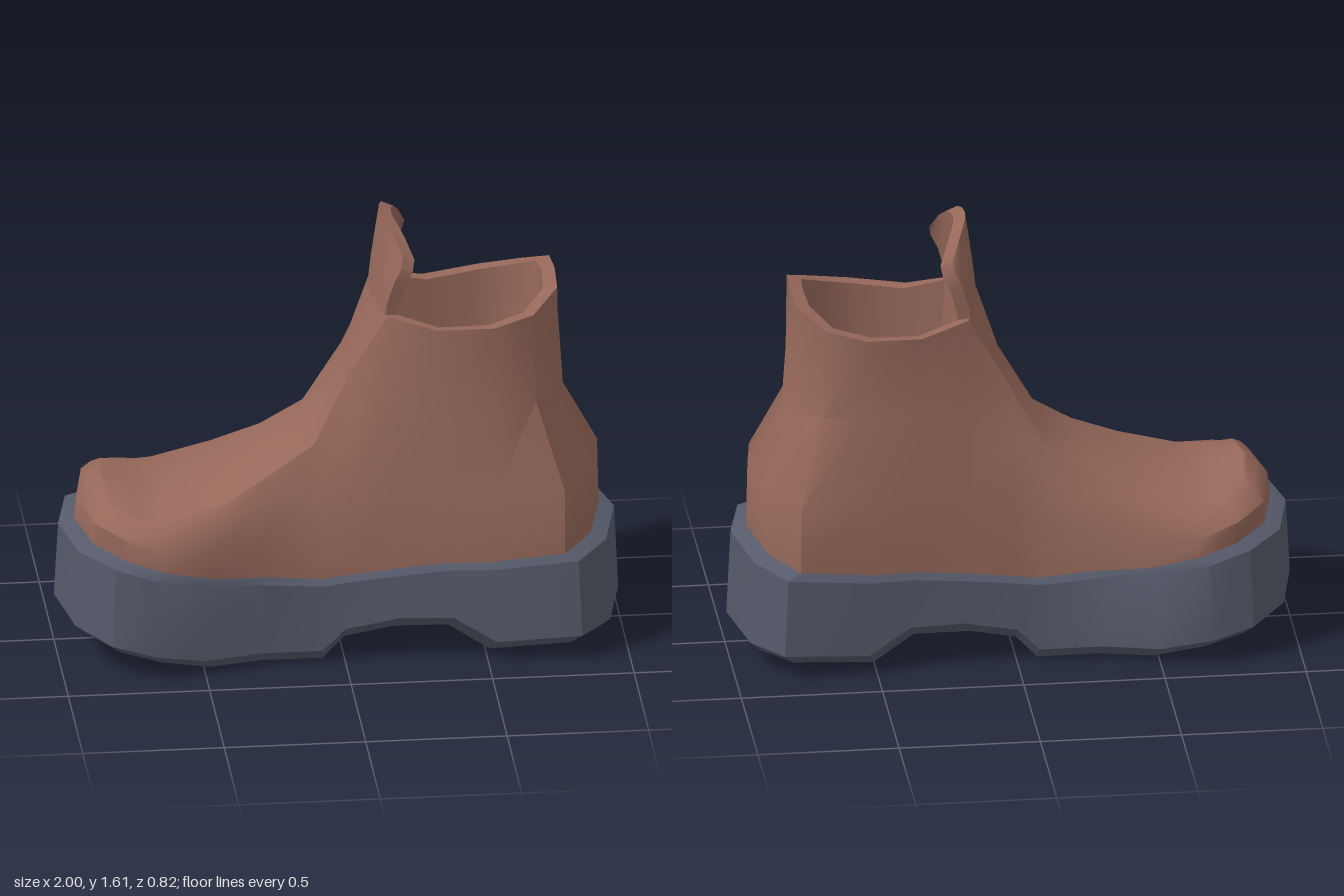
import * as THREE from 'three';
import { toCreasedNormals } from 'three/addons/utils/BufferGeometryUtils.js';

const leather = new THREE.MeshStandardMaterial({ color: 0x96685a, side: THREE.DoubleSide });
leather.name = 'brown leather';
const rubber = new THREE.MeshStandardMaterial({ color: 0x565a6a, side: THREE.DoubleSide });
rubber.name = 'grey rubber';

const flip = ([x, y, z]) => [x, y, -z];
// Half outline (toe, left side, heel) mirrored into a closed loop
const loop = (half) => [...half, ...half.slice(1, -1).reverse().map(flip), half[0]];

// Skin a grid of points given as rows of equal length
function skin(rows) {
  const out = [];
  const same = (a, b) => Math.hypot(a[0] - b[0], a[1] - b[1], a[2] - b[2]) < 1e-6;
  const tri = (a, b, c) => {
    if (!same(a, b) && !same(b, c) && !same(c, a)) out.push(...a, ...b, ...c);
  };
  for (let r = 0; r < rows.length - 1; r++) {
    for (let i = 0; i < rows[r].length - 1; i++) {
      const a = rows[r][i], b = rows[r][i + 1], c = rows[r + 1][i + 1], d = rows[r + 1][i];
      tri(a, b, c);
      tri(a, c, d);
    }
  }
  return out;
}

function part(name, material, crease, ...skins) {
  const g = new THREE.BufferGeometry();
  g.setAttribute('position', new THREE.Float32BufferAttribute(skins.flat(), 3));
  const mesh = new THREE.Mesh(toCreasedNormals(g, crease), material);
  mesh.name = name;
  return mesh;
}

// Sole outline, toe to heel: x, half width, top height, lower edge height
const SOLE = [
  [-1, 0, .45, .18], [-.95, .25, .445, .165], [-.83, .37, .42, .13], [-.68, .41, .385, .1],
  [-.5, .37, .34, .06], [-.3, .31, .315, .055], [-.08, .3, .295, .05], [0, .3, .305, .13],
  [.19, .315, .33, .17], [.38, .33, .35, .17], [.53, .355, .355, .08], [.83, .375, .385, .1],
  [.94, .26, .415, .11], [.995, 0, .43, .12],
];

// Upper, same columns as the sole: widest line, ankle line, top edge
const LOW = [
  [-.92, .56, 0], [-.88, .55, .24], [-.78, .52, .34], [-.65, .48, .375], [-.47, .48, .35],
  [-.28, .5, .29], [-.08, .52, .275], [0, .6, .28], [.18, .65, .29], [.37, .65, .315],
  [.53, .65, .335], [.77, .65, .355], [.89, .67, .21], [.92, .69, 0],
];
const ANKLE = [
  [-.885, .605, 0], [-.85, .585, .22], [-.76, .56, .3], [-.64, .54, .33], [-.44, .57, .315],
  [-.26, .62, .255], [-.08, .68, .24], [.03, .85, .215], [.17, .95, .235], [.36, .95, .255],
  [.55, .95, .265], [.68, .95, .24], [.77, .93, .14], [.8, .9, 0],
];
const RIM = [
  [-.84, .64, 0], [-.82, .605, .2], [-.73, .57, .26], [-.63, .565, .285], [-.42, .62, .28],
  [-.25, .705, .22], [-.1, .8, .2], [.03, 1.04, .14], [.16, 1.28, .2], [.33, 1.24, .25],
  [.53, 1.255, .285], [.67, 1.285, .25], [.765, 1.34, .14], [.77, 1.355, 0],
];
// Height of the instep panel's middle above its edges
const CROWN = [0, .03, .045, .04, .05, .045, .05, .04, .04];

export function createModel() {
  const group = new THREE.Group();
  group.name = 'boot';

  // Sole with bevelled edges, heel arch and insole
  const tread = SOLE.map(([x, z, , b]) => [x * .96, b - .045, z * .86]);
  const lowerEdge = SOLE.map(([x, z, , b]) => [x, b, z]);
  const upperEdge = SOLE.map(([x, z, t]) => [x * .985, t, z * .985]);
  const welt = SOLE.map(([x, z, t]) => [x * .93, t + .022, z * .93]);
  group.add(part('sole', rubber, .5,
    skin([tread, lowerEdge, upperEdge, welt].map(loop)),
    skin([tread.map(flip), tread]),
    skin([welt, welt.map(flip)])));

  // Outer wall and domed instep panel
  const panelEdge = RIM.slice(0, 9);
  const panelRow = (k, lift) => panelEdge.map(([x, y, z], i) =>
    [x - (i === 8 ? .05 * lift : 0), y + CROWN[i] * lift, z * k]);
  group.add(part('upper', leather, .75, skin([welt, LOW, ANKLE, RIM].map(loop))));
  group.add(part('instepPanel', leather, .75,
    skin([[1, 0], [.5, .75], [0, 1], [-.5, .75], [-1, 0]].map(([k, l]) => panelRow(k, l)))));

  // Collar edge and lining running down to the insole
  const collar = [[.13, 1.31, 0], ...RIM.slice(8)];
  const liningTop = [[.165, 1.31, 0], [.2, 1.275, .18], [.34, 1.235, .21], [.51, 1.25, .24],
    [.64, 1.28, .21], [.715, 1.33, .12], [.725, 1.345, 0]];
  const liningFoot = liningTop.map(([x, , z]) => [.43 + (x - .43) * .78, .33, z * .92]);
  group.add(part('collarEdge', leather, .6, skin([collar, liningTop].map(loop))));
  group.add(part('lining', leather, .75, skin([liningTop, liningFoot].map(loop))));

  // Curved pull tab: height, half width, middle x, backward curl, corner drop
  const tabRows = [[1.24, .185, .1, .05, 0], [1.32, .19, .112, .045, 0],
    [1.41, .205, .122, .06, 0], [1.52, .2, .137, .07, .06], [1.61, .18, .15, .065, .11]];
  const us = [-1, -.75, -.5, -.25, 0, .25, .5, .75, 1];
  const tabFace = (thick) => tabRows.map(([y, w, x, curl, drop]) =>
    us.map((u) => [x + curl * u * u + thick, y - drop * Math.abs(u) ** 3 - thick * .4, w * u * (1 - thick)]));
  const front = tabFace(0), back = tabFace(.042);
  const column = (face, i) => face.map((row) => row[i]);
  const last = us.length - 1, top = tabRows.length - 1;
  group.add(part('pullTab', leather, .6,
    skin(front),
    skin([...back].reverse()),
    skin([front[top], back[top]]),
    skin([column(front, 0), column(back, 0)].reverse()),
    skin([column(front, last), column(back, last)])));

  return group;
}
